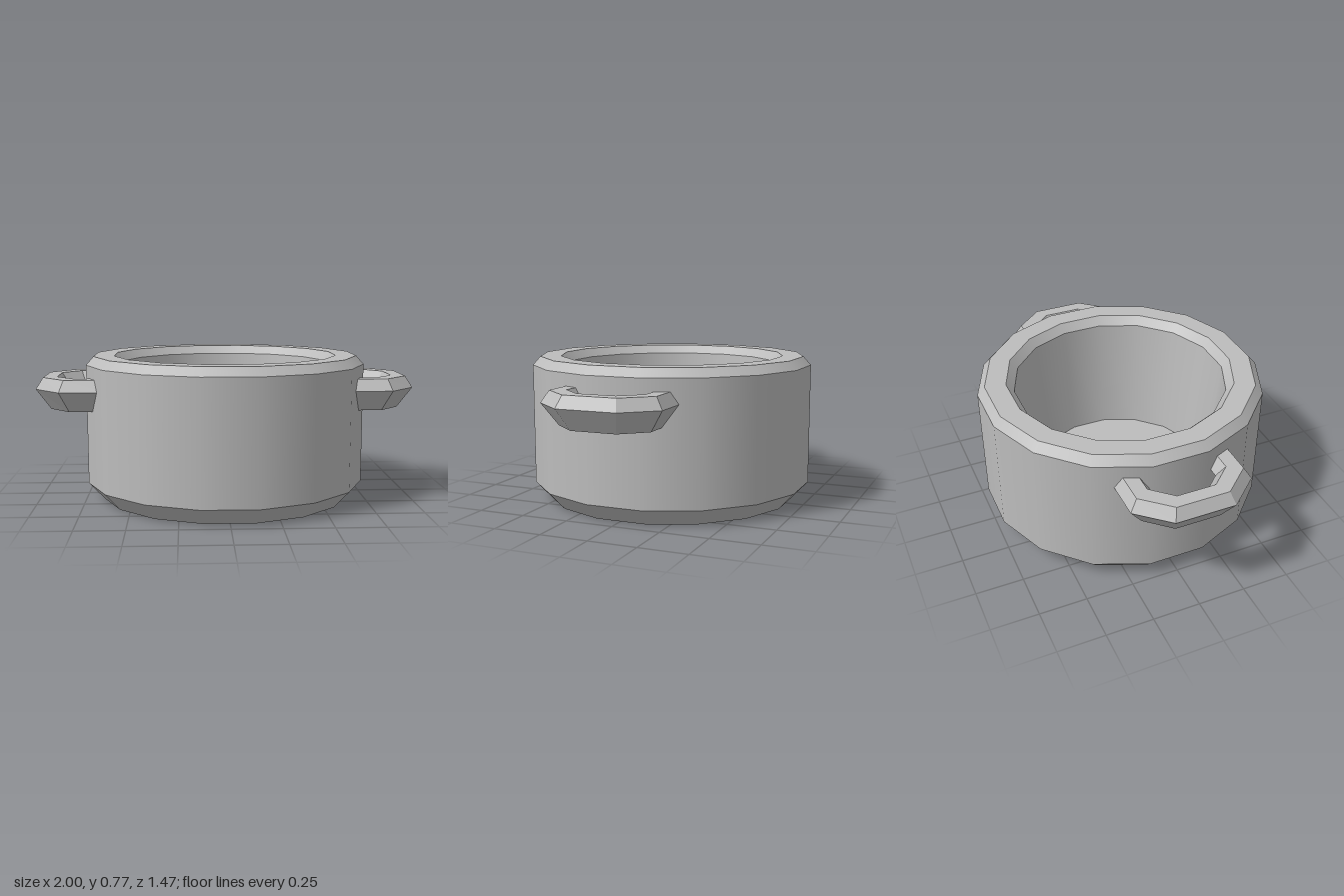
import * as THREE from 'three';
import { mergeGeometries } from 'three/addons/utils/BufferGeometryUtils.js';

const SIDES = 16;

// Turned body: smooth around, sharp between profile steps
function turned(profile) {
  const rings = [];
  for (let i = 0; i < profile.length - 1; i++) {
    const pts = [profile[i], profile[i + 1]].map(([r, y]) => new THREE.Vector2(r, y));
    rings.push(new THREE.LatheGeometry(pts, SIDES, Math.PI / SIDES));
  }
  return mergeGeometries(rings);
}

// Faceted loop handle: a five-sided section swept between an inner and an outer path
function handleGeometry() {
  const outer = [[0.6, 0.315], [0.86, 0.315], [1.0, 0.155]];
  const inner = [[0.6, 0.165], [0.775, 0.165], [0.855, 0.08]];
  const section = [[1, 0.6], [0.75, 0.66], [0.27, 0.66], [0, 0.6], [0.5, 0.49]];
  const mirror = (path) => [
    ...path.map(([x, z]) => [x, -z]),
    ...path.slice().reverse(),
  ];
  const o = mirror(outer), n = mirror(inner);
  const positions = [], index = [];
  o.forEach((p, i) => {
    for (const [t, y] of section) {
      positions.push(
        THREE.MathUtils.lerp(n[i][0], p[0], t), y,
        THREE.MathUtils.lerp(n[i][1], p[1], t));
    }
  });
  const k = section.length;
  for (let i = 0; i < o.length - 1; i++) {
    for (let j = 0; j < k; j++) {
      const a = i * k + j, b = i * k + (j + 1) % k;
      index.push(a, b, b + k, a, b + k, a + k);
    }
  }
  const g = new THREE.BufferGeometry();
  g.setAttribute('position', new THREE.Float32BufferAttribute(positions, 3));
  g.setIndex(index);
  const flat = g.toNonIndexed();
  flat.computeVertexNormals();
  return flat;
}

export function createModel() {
  const group = new THREE.Group();
  group.name = 'cookingPot';
  const metal = new THREE.MeshStandardMaterial({ color: 0xbcbcbc });
  metal.name = 'greyMetal';

  // Pot: base, bevel, wall, rim, tapered inside and floor
  const pot = new THREE.Mesh(turned([
    [0, 0], [0.667, 0], [0.75, 0.09], [0.75, 0.725], [0.71, 0.77],
    [0.6, 0.77], [0.56, 0.725], [0.49, 0.1], [0, 0.1],
  ]), metal);
  pot.name = 'pot';
  group.add(pot);

  // Handles on both sides
  const geometry = handleGeometry();
  [['leftHandle', 0], ['rightHandle', Math.PI]].forEach(([name, angle]) => {
    const handle = new THREE.Mesh(geometry, metal);
    handle.name = name;
    handle.rotation.y = angle;
    group.add(handle);
  });
  return group;
}
